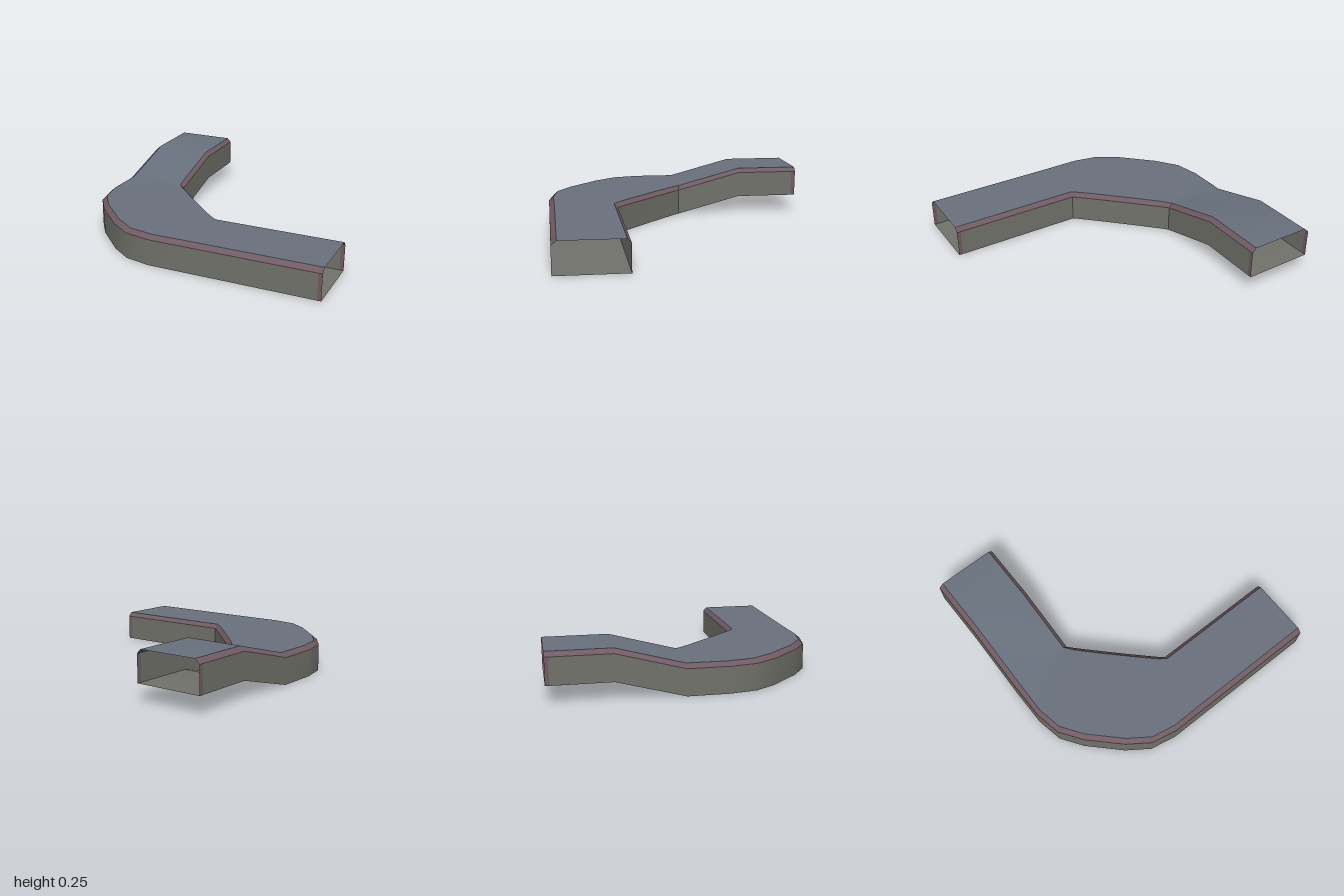
import * as THREE from 'three';
import { toCreasedNormals } from 'three/addons/utils/BufferGeometryUtils.js';

const mat = (name, color) => {
  const m = new THREE.MeshStandardMaterial({ color, side: THREE.DoubleSide });
  m.name = name;
  return m;
};

// Stations from the front end to the back end: outer x, z, inner x, z, lift
const STATIONS = [
  [0.24, 1.0, 0.494, 0.75, 0],
  [0.225, 0.985, 0.479, 0.735, 0],
  [-0.235, 0.525, 0.012, 0.27, 0],
  [-0.39, 0.37, 0.01, 0.23, 0],
  [-0.47, 0.25, 0.009, 0.18, 0],
  [-0.495, 0.11, 0.008, 0.08, 0],
  [-0.495, -0.11, 0.008, -0.08, 0],
  [-0.47, -0.25, 0.009, -0.18, 0],
  [-0.39, -0.37, 0.01, -0.23, 0],
  [-0.235, -0.525, 0.012, -0.27, 0],
  [0.01, -0.77, 0.257, -0.515, 0.093],
  [0.225, -0.985, 0.479, -0.735, 0.093],
  [0.24, -1.0, 0.494, -0.75, 0.093],
];
const WALL_TOP = 0.138, TOP = 0.16, OUTER_BEVEL = 0.026, INNER_BEVEL = 0.02;

// Cross-section of one station, from the outer foot over the top to the inner foot
function section([ox, oz, ix, iz, lift]) {
  const o = new THREE.Vector3(ox, lift, oz), i = new THREE.Vector3(ix, lift, iz);
  const across = i.clone().sub(o).normalize();
  const at = (p, y, shift) => p.clone().addScaledVector(across, shift).setY(lift + y);
  return [
    o, at(o, WALL_TOP, 0), at(o, TOP, OUTER_BEVEL),
    at(i, TOP, -INNER_BEVEL), at(i, WALL_TOP, 0), i,
  ];
}

// Band of quads between two section points over a range of stations
function band(sections, a, b, from, to) {
  const pos = [], index = [];
  for (let s = from; s <= to; s++) {
    pos.push(...sections[s][a].toArray(), ...sections[s][b].toArray());
    if (s < to) {
      const k = (s - from) * 2;
      index.push(k, k + 1, k + 2, k + 1, k + 3, k + 2);
    }
  }
  const g = new THREE.BufferGeometry();
  g.setAttribute('position', new THREE.Float32BufferAttribute(pos, 3));
  g.setIndex(index);
  return toCreasedNormals(g, 0.5);
}

export function createModel() {
  const group = new THREE.Group();
  group.name = 'bentRampPath';
  const slate = mat('slateBlue', 0x69717e);
  const stone = mat('stoneGrey', 0x72726b);
  const trim = mat('mauveTrim', 0x715b63);
  const sections = STATIONS.map(section);
  const last = sections.length - 1;
  const add = (name, material, a, b, from = 0, to = last) => {
    const mesh = new THREE.Mesh(band(sections, a, b, from, to), material);
    mesh.name = name;
    group.add(mesh);
  };

  // Walking surface, bevelled edges and underside; both ends stay open
  add('topSurface', slate, 2, 3);
  add('outerBevel', trim, 1, 2);
  add('innerBevel', trim, 3, 4);
  add('underside', stone, 5, 0);

  // Side walls with narrow trim strips at each end
  for (const [name, a, b] of [['outer', 0, 1], ['inner', 4, 5]]) {
    add(name + 'Wall', stone, a, b, 1, last - 1);
    add(name + 'FrontStrip', trim, a, b, 0, 1);
    add(name + 'BackStrip', trim, a, b, last - 1, last);
  }
  return group;
}
